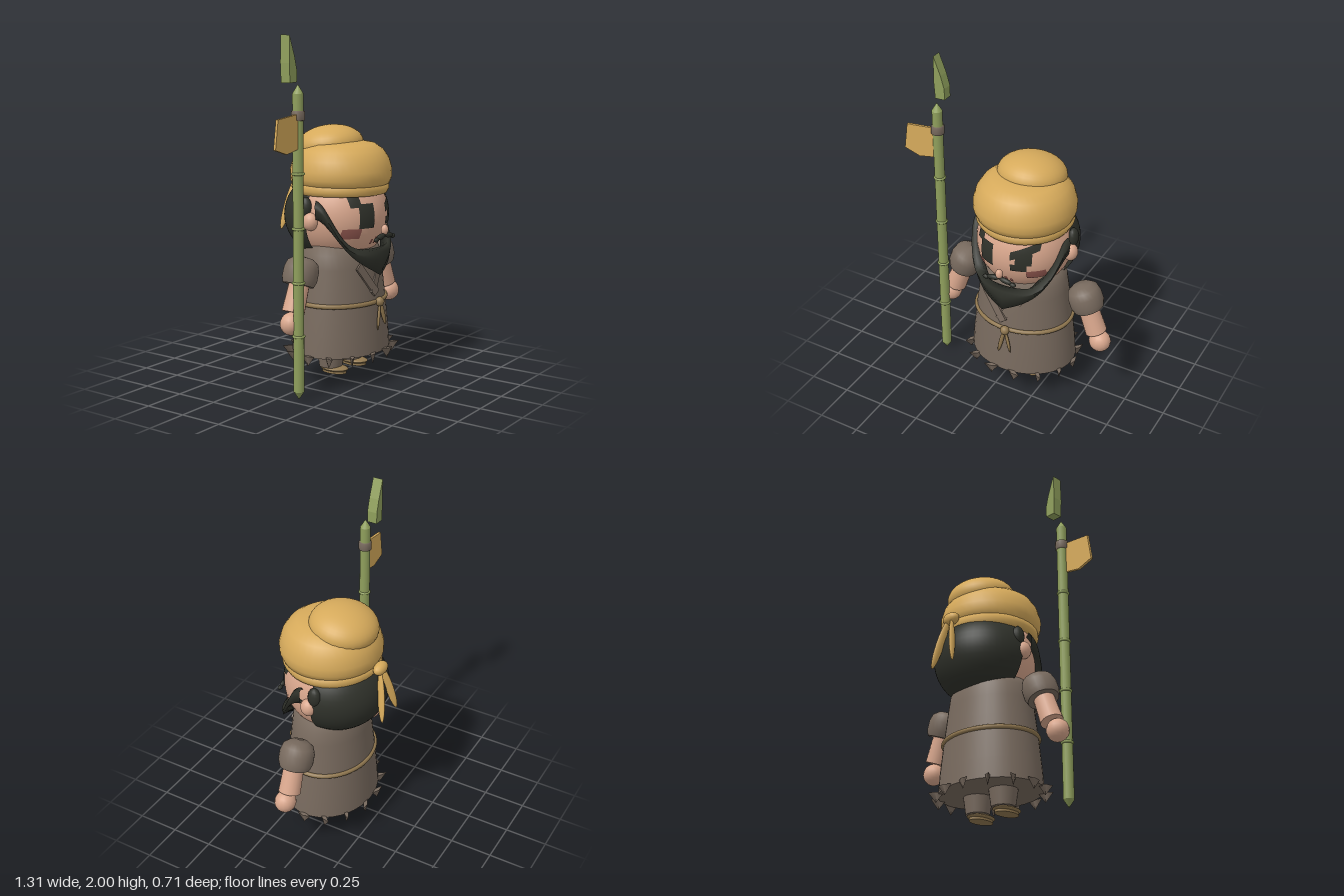
import * as THREE from 'three';
import { mergeGeometries } from 'three/addons/utils/BufferGeometryUtils.js';

const mat = (name, color, side = THREE.FrontSide) => {
  const m = new THREE.MeshStandardMaterial({ color, side });
  m.name = name;
  return m;
};
const V = (x, y, z) => new THREE.Vector3(x, y, z);

export function createModel() {
  const M = {
    cloth: mat('yellow cloth', 0xd6aa5b),
    robe: mat('brown robe', 0x786a5e),
    skin: mat('skin', 0xd9a78d),
    hair: mat('dark hair', 0x2f312a, THREE.DoubleSide),
    bamboo: mat('bamboo green', 0x8f9f5c),
    rope: mat('rope tan', 0x917850),
    blush: mat('blush red', 0x925850),
  };
  const model = new THREE.Group();
  model.name = 'spearman';
  const body = new THREE.Group();
  body.name = 'figure';
  body.position.x = 0.08;
  model.add(body);

  const add = (parent, name, geo, material, x = 0, y = 0, z = 0) => {
    const m = new THREE.Mesh(geo, material);
    m.name = name;
    m.position.set(x, y, z);
    parent.add(m);
    return m;
  };
  const ball = (parent, name, material, p, r, seg = 24) => {
    const m = add(parent, name, new THREE.SphereGeometry(1, seg, Math.ceil(seg * 0.7)), material, ...p);
    m.scale.set(...r);
    return m;
  };
  const lathe = (pts, seg = 40) =>
    new THREE.LatheGeometry(pts.map(p => new THREE.Vector2(...p)), seg);
  // Rounded strand stretched between two points
  const strand = (parent, name, material, a, b, rx, rz) => {
    const d = b.clone().sub(a);
    const m = add(parent, name, new THREE.SphereGeometry(1, 14, 12), material);
    m.position.copy(a).addScaledVector(d, 0.5);
    m.scale.set(rx, d.length() / 2, rz);
    m.quaternion.setFromUnitVectors(V(0, 1, 0), d.normalize());
    return m;
  };

  // Robe: oval skirt with a closed hem
  const robe = add(body, 'robe', lathe([
    [0, 0.18], [0.325, 0.18], [0.325, 0.18], [0.316, 0.3], [0.298, 0.46], [0.285, 0.56],
    [0.27, 0.68], [0.258, 0.76], [0.22, 0.83], [0, 0.86]]), M.robe, 0, 0, 0.032);
  robe.scale.z = 0.82;

  // Tattered hem: thin points hanging around the skirt
  for (let i = 0; i < 14; i++) {
    const a = (i / 14) * Math.PI * 2;
    const tip = add(body, 'hemTatter', new THREE.ConeGeometry(0.045, 0.06, 4).rotateX(Math.PI),
      M.robe, 0.335 * Math.cos(a), 0.16, 0.032 + 0.28 * Math.sin(a));
    tip.scale.x = 0.3;
    tip.rotation.y = a;
  }

  // Crossed collar
  for (const s of [-1, 1]) {
    const lapel = add(body, 'collar', new THREE.BoxGeometry(0.05, 0.22, 0.012), M.robe,
      s * 0.05 - 0.02, 0.615, s < 0 ? 0.262 : 0.257);
    lapel.rotation.set(-0.12, s * 0.12, -s * -0.65 * -1);
  }

  // Rope belt with knot and loose ends
  const belt = add(body, 'belt', new THREE.TorusGeometry(0.296, 0.014, 8, 48).rotateX(Math.PI / 2), M.rope, 0, 0.477, 0.032);
  belt.scale.z = 0.83;
  ball(body, 'beltKnot', M.rope, [0.012, 0.477, 0.293], [0.028, 0.028, 0.026], 14);
  strand(body, 'beltEnd', M.rope, V(0.01, 0.48, 0.295), V(-0.025, 0.315, 0.305), 0.013, 0.009);
  strand(body, 'beltEnd', M.rope, V(0.015, 0.48, 0.295), V(0.055, 0.335, 0.305), 0.013, 0.009);

  // Arms and legs, mirrored
  for (const s of [-1, 1]) {
    const arm = new THREE.Group();
    arm.name = s > 0 ? 'leftArm' : 'rightArm';
    arm.position.set(s * 0.395, 0.69, 0.03);
    arm.rotation.z = s * 0.36;
    body.add(arm);
    add(arm, 'sleeve', lathe([[0, -0.075], [0.088, -0.075], [0.088, -0.075], [0.1, -0.04], [0.1, 0.015],
      [0.088, 0.055], [0.055, 0.08], [0, 0.088]], 24), M.robe);
    add(arm, 'forearm', new THREE.CylinderGeometry(0.058, 0.064, 0.17, 20), M.skin, 0, -0.145, 0.005);
    ball(body, 'hand', M.skin, [s * 0.507, 0.42, 0.045], [0.065, 0.065, 0.062], 16);

    add(body, 'trouserLeg', new THREE.CylinderGeometry(0.088, 0.068, 0.14, 24), M.robe, s * 0.103, 0.15, 0.03);
    ball(body, 'foot', M.rope, [s * 0.103, 0.07, 0.055], [0.064, 0.017, 0.09], 20);
    const sole = add(body, 'sandal', new THREE.CylinderGeometry(0.05, 0.05, 0.014, 20), M.rope, s * 0.103, 0.053, 0.055);
    sole.scale.z = 1.6;
  }

  // Head and hair
  const H = { y: 0.975, z: 0.02, rx: 0.283, ry: 0.285, rz: 0.282 };
  ball(body, 'head', M.skin, [0, H.y, H.z], [H.rx, H.ry, H.rz], 40);
  const hair = add(body, 'hair', new THREE.SphereGeometry(1, 28, 24, Math.PI, Math.PI), M.hair, 0, 0.965, -0.005);
  hair.scale.set(0.303, 0.265, 0.303);
  for (const s of [-1, 1]) {
    ball(body, 'ear', M.skin, [s * 0.285, 0.957, 0.015], [0.042, 0.052, 0.047], 16);
    ball(body, 'sideLock', M.hair, [s * 0.28, 1.035, -0.022], [0.032, 0.06, 0.04], 14);
  }

  // Painted face plates: [left, right, bottom, top, slant], wrapped on the head
  const paint = (name, material, rects) => {
    const geos = rects.map(([x0, x1, y0, y1, slant = 0]) => {
      const g = new THREE.PlaneGeometry(x1 - x0, y1 - y0, 6, 6).translate((x0 + x1) / 2, (y0 + y1) / 2, 0);
      const p = g.attributes.position;
      for (let i = 0; i < p.count; i++) {
        const x = p.getX(i), y = p.getY(i) + slant * (x - (x0 + x1) / 2);
        const k = 1 - (x / H.rx) ** 2 - ((y - H.y) / H.ry) ** 2;
        p.setXYZ(i, x, y, H.z + H.rz * Math.sqrt(Math.max(k, 0)) + 0.005);
      }
      g.computeVertexNormals();
      return g;
    });
    add(body, name, mergeGeometries(geos), material);
  };
  paint('rightEyeAndBrow', M.hair, [[-0.19, -0.135, 1.04, 1.1], [-0.152, -0.06, 0.92, 1.06]]);
  paint('leftEyeAndBrow', M.hair, [[0.05, 0.195, 1.025, 1.075, 0.42], [0.08, 0.165, 0.965, 1.04], [0.052, 0.14, 0.925, 0.97]]);
  paint('cheekBlush', M.blush, [[-0.222, -0.135, 0.862, 0.92], [0.135, 0.222, 0.87, 0.925]]);
  paint('mouth', M.blush, [[-0.052, -0.036, 0.82, 0.85], [-0.022, -0.006, 0.82, 0.86], [0.006, 0.022, 0.82, 0.86], [0.036, 0.052, 0.82, 0.85]]);

  // Nose and moustache
  ball(body, 'nose', M.skin, [0, 0.903, 0.33], [0.022, 0.03, 0.022], 14);
  for (const s of [-1, 1]) {
    const m = ball(body, 'moustache', M.hair, [s * 0.04, 0.868, 0.33], [0.042, 0.016, 0.015], 14);
    m.rotation.z = -s * 0.15;
    ball(body, 'moustacheEnd', M.hair, [s * 0.085, 0.856, 0.33], [0.022, 0.013, 0.013], 12);
  }

  // Beard: a crescent swept from ear to ear
  const pos = [], idx = [], N = 40, K = 5;
  for (let i = 0; i <= N; i++) {
    const a = (i / N - 0.5) * Math.PI, x = Math.sin(a), c = Math.cos(a), s = Math.abs(x);
    const up = 0.8 + 0.28 * s ** 6, low = 0.635 + 0.16 * s + 0.18 * s ** 5;
    const ring = [[0.97, up], [1.03, up - 0.03], [1.02, (up + low) / 2], [1.0, low], [0.8, low + 0.04]];
    for (const [r, y] of ring) {
      const front = y < up - 0.02 && r > 0.9 ? 0.005 : 0;
      pos.push(0.297 * x * r, y, 0.055 + 0.243 * c * r + front);
    }
    if (i < N) for (let k = 0; k < K; k++) {
      const p = i * K + k, q = i * K + ((k + 1) % K);
      idx.push(p, q, p + K, q, q + K, p + K);
    }
  }
  const beard = new THREE.BufferGeometry();
  beard.setAttribute('position', new THREE.Float32BufferAttribute(pos, 3));
  beard.setIndex(idx);
  beard.computeVertexNormals();
  add(body, 'beard', beard, M.hair);

  // Turban: band, puffed wrap, top coil, knot and tails
  add(body, 'turbanBand', lathe([[0.25, 1.1], [0.27, 1.1], [0.283, 1.125], [0.28, 1.16], [0.25, 1.17]]), M.cloth, 0, 0, 0.025);
  add(body, 'turbanWrap', lathe([[0, 1.14], [0.255, 1.14], [0.28, 1.155], [0.294, 1.19], [0.295, 1.235], [0.278, 1.295],
    [0.245, 1.345], [0.195, 1.38], [0.12, 1.395], [0, 1.4]]), M.cloth, 0, 0, 0.03);
  const coil = ball(body, 'turbanCoil', M.cloth, [0, 1.365, -0.05], [0.2, 0.118, 0.197], 32);
  coil.rotation.x = -0.15;
  ball(body, 'turbanKnot', M.cloth, [0, 1.155, -0.283], [0.058, 0.036, 0.036], 16);
  for (const s of [-1, 1])
    strand(body, 'turbanTail', M.cloth, V(s * 0.015, 1.15, -0.29), V(s * 0.085, 0.85, -0.345), 0.025, 0.013);

  // Bamboo spear
  const spear = new THREE.Group();
  spear.name = 'spear';
  spear.position.set(-0.438, 0, 0.105);
  model.add(spear);
  add(spear, 'shaft', lathe([[0, 0], [0.03, 0.045], [0.03, 0.045], [0.03, 1.69], [0.03, 1.69], [0, 1.74]], 16), M.bamboo);
  for (const y of [0.36, 0.66, 0.96, 1.26])
    add(spear, 'bambooNode', new THREE.TorusGeometry(0.029, 0.008, 8, 20).rotateX(Math.PI / 2), M.bamboo, 0, y, 0);
  add(spear, 'binding', lathe([[0.028, 1.545], [0.038, 1.55], [0.038, 1.595], [0.028, 1.6]], 16), M.robe);

  const outline = pts => new THREE.Shape(pts.map(p => new THREE.Vector2(...p)));
  const extrude = (pts, depth) => new THREE.ExtrudeGeometry(outline(pts), { depth, bevelEnabled: false });
  add(spear, 'spearTip', extrude([[-0.028, 1.745], [0.033, 1.748], [0.033, 1.815], [0.012, 1.89], [-0.03, 1.998], [-0.034, 1.85]], 0.06),
    M.bamboo, 0, 0, -0.09);
  add(spear, 'pennant', extrude([[-0.02, 1.582], [-0.195, 1.563], [-0.218, 1.405], [-0.12, 1.375], [-0.02, 1.395]], 0.015),
    M.cloth, 0, 0, 0.002);
  return model;
}
